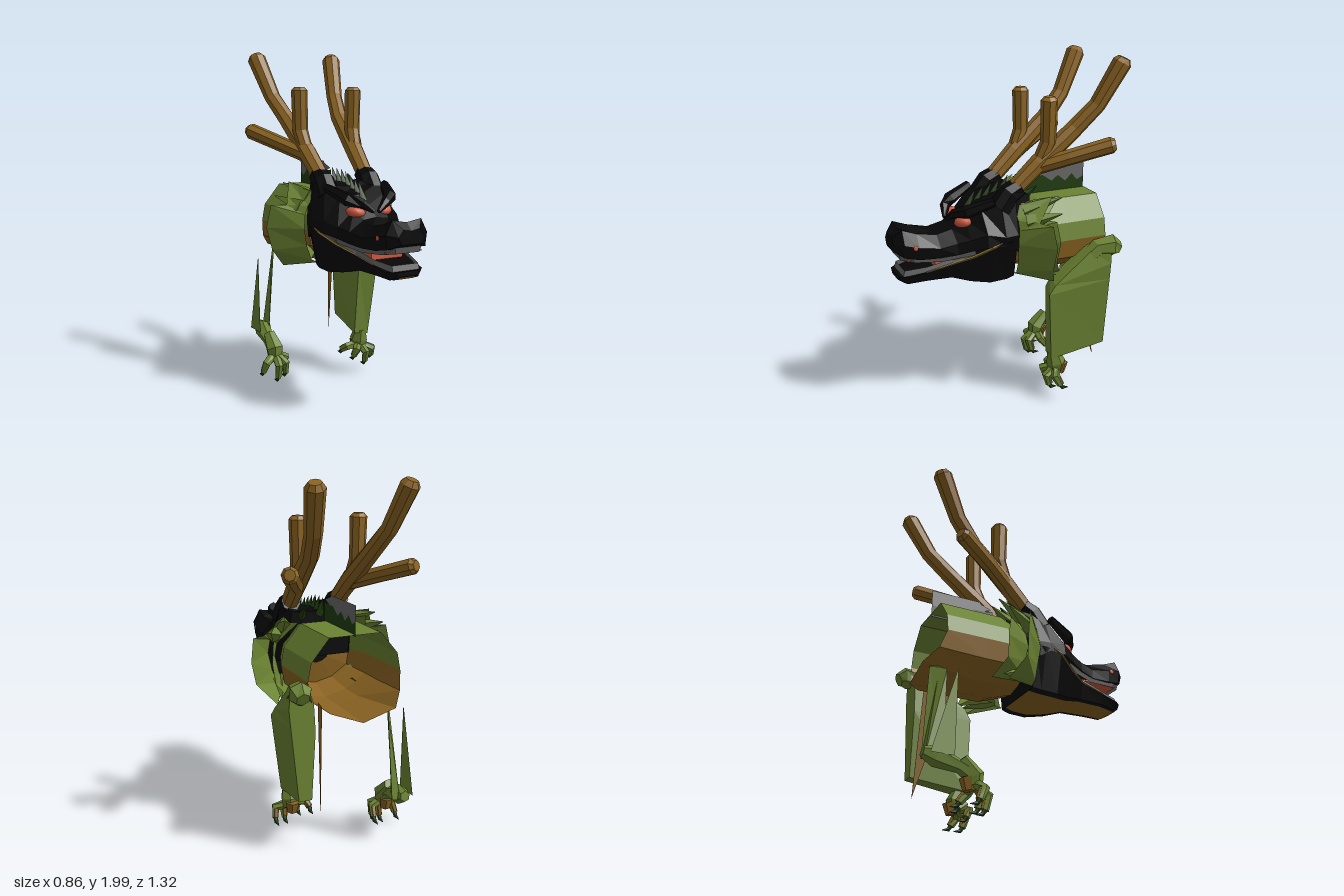
import * as THREE from 'three';

const mat = (name, color) => {
  const m = new THREE.MeshStandardMaterial({ color, side: THREE.DoubleSide });
  m.name = name;
  return m;
};
const V = (a) => new THREE.Vector3(...a);

// Faceted skin through rings (start to end, counter-clockwise seen from the start)
function loft(rings, closed = true) {
  const out = [];
  const tri = (a, b, c) => out.push(...a, ...b, ...c);
  const n = rings[0].length;
  for (let i = 0; i < rings.length - 1; i++) {
    for (let k = 0; k < (closed ? n : n - 1); k++) {
      const j = (k + 1) % n, a = rings[i][k], b = rings[i][j], c = rings[i + 1][k], d = rings[i + 1][j];
      tri(a, c, b);
      tri(b, c, d);
    }
  }
  if (closed) {
    for (const [ring, flip] of [[rings[0], false], [rings[rings.length - 1], true]]) {
      const mid = [0, 1, 2].map((q) => ring.reduce((s, p) => s + p[q], 0) / n);
      ring.forEach((p, k) => {
        const q = ring[(k + 1) % n];
        flip ? tri(mid, q, p) : tri(mid, p, q);
      });
    }
  }
  const g = new THREE.BufferGeometry();
  g.setAttribute('position', new THREE.Float32BufferAttribute(out, 3));
  g.computeVertexNormals();
  return g;
}

// Tapered faceted limb along a path
function sweep(points, radii, sides = 6) {
  const p = points.map(V);
  return loft(p.map((c, i) => {
    const t = p[Math.min(i + 1, p.length - 1)].clone().sub(p[Math.max(i - 1, 0)]).normalize();
    const u = new THREE.Vector3().crossVectors(t, V([0.93, 0.1, 0.35])).normalize();
    const v = new THREE.Vector3().crossVectors(u, t);
    return Array.from({ length: sides }, (_, k) => {
      const a = (k / sides) * Math.PI * 2;
      return c.clone().addScaledVector(u, Math.cos(a) * radii[i]).addScaledVector(v, Math.sin(a) * radii[i]).toArray();
    });
  }));
}

// Flat plate standing on the centre line, outline given as [z, y]
function plate(outline) {
  const g = new THREE.ShapeGeometry(new THREE.Shape(outline.map((p) => new THREE.Vector2(...p))));
  return g.rotateY(-Math.PI / 2);
}

export function createModel() {
  const root = new THREE.Group();
  root.name = 'hornedBeast';
  const green = mat('scaleGreen', 0x6c8433), brown = mat('hornBrown', 0x8b6422), black = mat('headBlack', 0x070707);
  const darkGreen = mat('crestGreen', 0x213c10), grey = mat('toothGrey', 0x686868), red = mat('eyeRed', 0xcf5a40);
  const gold = mat('lipGold', 0x8f7436);
  const add = (name, geometry, material, parent = root) => {
    const m = new THREE.Mesh(geometry, material);
    m.name = name;
    parent.add(m);
    return m;
  };

  // Skull and snout: z, centre top, crown x/y, cheek x/y, lip x/y
  const skull = [
    [0.665, 1.06, 0.05, 1.07, 0.08, 1.03, 0.06, 0.99], [0.62, 1.1, 0.09, 1.115, 0.13, 1.04, 0.12, 0.965],
    [0.54, 1.06, 0.09, 1.085, 0.145, 1.02, 0.14, 0.95], [0.42, 1.05, 0.08, 1.06, 0.15, 1.0, 0.15, 0.945],
    [0.33, 1.09, 0.08, 1.08, 0.17, 1.02, 0.18, 0.96], [0.26, 1.15, 0.095, 1.13, 0.2, 1.04, 0.21, 0.98],
    [0.18, 1.2, 0.14, 1.19, 0.24, 1.07, 0.25, 1.0], [0.08, 1.23, 0.18, 1.25, 0.262, 1.05, 0.26, 1.0],
    [0, 1.25, 0.19, 1.29, 0.25, 1.05, 0.24, 0.95], [-0.1, 1.24, 0.17, 1.25, 0.19, 1.1, 0.18, 0.98],
  ];
  add('skull', loft(skull.map(([z, t, ax, ay, bx, by, cx, cy]) => [
    [cx, cy, z], [bx, by, z], [ax, ay, z], [0, t, z], [-ax, ay, z], [-bx, by, z], [-cx, cy, z], [0, cy, z],
  ])), black);

  // Lower jaw: z, lip x/y, chin x/y
  const jaw = [
    [0.64, 0.08, 0.845, 0.06, 0.82], [0.6, 0.115, 0.845, 0.09, 0.8], [0.5, 0.13, 0.865, 0.11, 0.81], [0.35, 0.15, 0.9, 0.12, 0.81],
    [0.25, 0.2, 0.94, 0.16, 0.785], [0.15, 0.255, 1.0, 0.2, 0.775], [0.05, 0.262, 1.02, 0.2, 0.78], [0, 0.24, 1.02, 0.19, 0.79],
  ];
  add('lowerJaw', loft(jaw.map(([z, a, b, c, d]) => [[c, d, z], [a, b, z], [-a, b, z], [-c, d, z]])), black);
  add('chinStrip', loft(jaw.map(([z, , , c, d]) => [[-c * 0.75, d - 0.003, z], [c * 0.75, d - 0.003, z]]), false), brown);

  // Teeth follow the lips; red mouth lining between them
  const teeth = (half, h) => {
    const line = [...half.map(([x, y, z]) => [-x, y, z]), ...half.slice().reverse()];
    return loft([line, line.map(([x, y, z]) => [x * 0.96, y + h, z - 0.01])], false);
  };
  add('upperTeeth', teeth([[0.2, 0.985, 0.24], [0.148, 0.955, 0.42], [0.125, 0.965, 0.57], [0.08, 0.975, 0.64]], -0.035), grey);
  add('lowerTeeth', teeth([[0.19, 0.935, 0.25], [0.145, 0.895, 0.36], [0.122, 0.86, 0.5], [0.085, 0.843, 0.62]], 0.034), grey);
  add('tongue', new THREE.BoxGeometry(0.2, 0.05, 0.22), red).position.set(0, 0.895, 0.33);
  add('palate', new THREE.BoxGeometry(0.22, 0.008, 0.36), red).position.set(0, 0.942, 0.42);
  add('throat', new THREE.BoxGeometry(0.28, 0.1, 0.008), red).position.set(0, 0.93, 0.24);

  // Back crest and head crest
  add('backCrestTop', plate([[-0.17, 1.32], [-0.24, 1.345], [-0.24, 1.356], [-0.54, 1.356], [-0.54, 1.27], [-0.5, 1.25], [-0.46, 1.29],
    [-0.42, 1.25], [-0.37, 1.29], [-0.33, 1.26], [-0.27, 1.3], [-0.22, 1.3]]), grey);
  add('backCrest', plate([[-0.16, 1.19], [-0.16, 1.31], [-0.22, 1.3], [-0.27, 1.3], [-0.33, 1.26], [-0.37, 1.29],
    [-0.42, 1.25], [-0.46, 1.29], [-0.5, 1.25], [-0.54, 1.27], [-0.54, 1.19]]), darkGreen);
  for (let i = 0; i < 7; i++) {
    const spike = add('crestSpike', new THREE.ConeGeometry(0.028, 0.12, 4), darkGreen);
    spike.position.set(0, 1.215 + Math.min(i, 4) * 0.015, 0.18 - i * 0.05);
    spike.rotation.x = -0.45;
  }

  // Open trunk with green back and brown belly, drawn in at the neck
  const trunk = [[-0.06, 0.25], [-0.04, 0.8], [-0.18, 1], [-0.32, 1], [-0.545, 1]];
  const ring = (pts) => trunk.map(([z, s]) => pts.map(([x, y]) => [x * s, 0.99 + (y - 0.99) * s, z]));
  const belly = ring([[-0.27, 0.98], [-0.25, 0.87], [-0.13, 0.79], [0, 0.76], [0.14, 0.79], [0.25, 0.87], [0.27, 0.98]]);
  belly[4][1] = [-0.25, 0.88, -0.58];
  belly[4][2] = [-0.19, 0.81, -0.645];
  belly[4][3] = [0, 0.755, -0.645];
  add('back', loft(ring([[0.27, 0.98], [0.25, 1.08], [0.15, 1.2], [-0.15, 1.2], [-0.25, 1.08], [-0.27, 0.98]]), false), green);
  add('belly', loft(belly, false), brown);
  add('bellyShard', loft([[[0.13, 0.8, -0.36], [0.17, 0.82, -0.5]], [[0.19, 0.19, -0.53], [0.192, 0.19, -0.53]]], false), brown);

  for (const s of [1, -1]) {
    const side = new THREE.Group();
    side.name = s > 0 ? 'leftHeadParts' : 'rightHeadParts';
    root.add(side);
    const m = (pts) => pts.map(([x, y, z]) => [x * s, y, z]);

    // Antler with two tines
    add('hornSocket', sweep(m([[0.15, 1.18, 0.07], [0.15, 1.265, 0.01], [0.15, 1.295, -0.045]]), [0.07, 0.066, 0.056], 8), black, side);
    add('antler', sweep(m([[0.145, 1.26, 0.01], [0.16, 1.42, -0.16], [0.18, 1.6, -0.37], [0.215, 1.73, -0.49], [0.26, 1.96, -0.61], [0.265, 1.985, -0.62]]),
      [0.048, 0.055, 0.05, 0.048, 0.055, 0.035], 8), brown, side);
    add('upperTine', sweep(m([[0.16, 1.4, -0.15], [0.175, 1.54, -0.21], [0.18, 1.77, -0.21], [0.18, 1.79, -0.21]]), [0.04, 0.045, 0.048, 0.03], 8), brown, side);
    add('outerTine', sweep(m([[0.16, 1.4, -0.15], [0.25, 1.46, -0.31], [0.35, 1.53, -0.51], [0.36, 1.535, -0.53]]), [0.045, 0.045, 0.047, 0.03], 8), brown, side);

    // Eye, brow, nostril and lip line
    const eye = add('eye', new THREE.SphereGeometry(1, 10, 6), red, side);
    eye.scale.set(0.055, 0.034, 0.042);
    eye.position.set(s * 0.092, 1.115, 0.268);
    eye.rotation.set(0, s * 0.6, s * 0.15);
    add('brow', sweep(m([[0.015, 1.12, 0.335], [0.075, 1.165, 0.312], [0.135, 1.185, 0.262], [0.19, 1.24, 0.12]]), [0.012, 0.028, 0.038, 0.025]), black, side);
    const nostril = add('nostril', new THREE.SphereGeometry(0.014, 8, 6), red, side);
    nostril.position.set(s * 0.141, 1.02, 0.56);
    nostril.scale.x = 0.3;
    add('lipLine', sweep(m([[0.258, 1.02, 0.1], [0.254, 1.0, 0.15], [0.2, 0.943, 0.25], [0.15, 0.903, 0.35], [0.13, 0.868, 0.5]]), [0.003, 0.008, 0.008, 0.006, 0.004], 4), gold, side);

    // Neck ruff: two rows of flared leaves, open behind
    const root1 = [[0.15, 1.2, 0], [0.19, 1.2, 0], [0.24, 1.13, 0], [0.26, 1.08, 0], [0.27, 1, 0.01], [0.25, 0.9, 0], [0.22, 0.82, 0], [0.18, 0.8, 0]];
    const rim1 = [[0.18, 1.22, -0.12], [0.26, 1.25, -0.2], [0.33, 1.13, -0.09], [0.41, 1.13, -0.13], [0.43, 1, -0.15], [0.4, 0.87, -0.14], [0.3, 0.76, -0.2], [0.23, 0.83, -0.1]];
    add('ruffFront', loft([m(root1), m(rim1)], false), green, side);
    const shrink = (pts, k, dz) => m(pts.map(([x, y, z]) => [x * k, 1 + (y - 1) * 0.92, z + dz]));
    add('ruffRear', loft([shrink(root1, 0.95, -0.07), shrink(rim1, 0.78, -0.07)], false), green, side);
    for (const [x, y, z] of [[0.27, 1.24, -0.25], [0.34, 1.17, -0.22], [0.28, 0.79, -0.22]]) {
      add('ruffSpike', sweep(m([[x * 0.75, 1 + (y - 1) * 0.7, -0.05], [x, y, z]]), [0.05, 0.003], 4), green, side);
    }
    add('napeSpike', sweep(m([[0.1, 1.18, -0.04], [0.12, 1.28, -0.17]]), [0.045, 0.003], 4), darkGreen, side);
  }

  // Left foreleg: wedge that is broad in front and thinner behind, hung from a folded shoulder
  add('leftForeleg', loft([
    [[0.25, 0.93, -0.42], [0.33, 0.92, -0.42], [0.36, 0.96, -0.53], [0.27, 0.97, -0.53]],
    [[0.22, 0.76, -0.22], [0.32, 0.74, -0.2], [0.37, 0.84, -0.53], [0.23, 0.86, -0.53]],
    [[0.215, 0.7, -0.19], [0.325, 0.69, -0.16], [0.36, 0.74, -0.53], [0.22, 0.7, -0.53]],
    [[0.195, 0.27, -0.21], [0.285, 0.26, -0.2], [0.315, 0.32, -0.53], [0.24, 0.32, -0.53]],
  ].map((r) => r.reverse())), green);
  add('leftShoulder', sweep([[0.29, 0.82, -0.36], [0.3, 0.92, -0.48], [0.32, 0.93, -0.56], [0.32, 0.91, -0.6]], [0.04, 0.055, 0.065, 0.04]), green);

  // Right foreleg: forearm with two tall shards
  add('rightForearm', sweep([[-0.26, 0.295, -0.65], [-0.26, 0.28, -0.58], [-0.28, 0.24, -0.46], [-0.28, 0.2, -0.38]], [0.03, 0.055, 0.035, 0.045]), green);
  add('innerShard', loft([[[-0.17, 0.8, -0.6], [-0.19, 0.8, -0.55], [-0.22, 0.78, -0.52]],
    [[-0.19, 0.28, -0.63], [-0.24, 0.27, -0.63], [-0.24, 0.27, -0.53]]]), green);
  add('outerShard', loft([[[-0.322, 0.75, -0.5], [-0.325, 0.75, -0.5]], [[-0.315, 0.28, -0.5], [-0.32, 0.28, -0.63]]], false), green);

  // Clawed hands: wrist point, palm point, finger tips
  const hand = (name, wrist, palm, tips) => {
    const g = new THREE.Group();
    g.name = name;
    root.add(g);
    add('palm', sweep([wrist, [palm[0], palm[1] + 0.03, palm[2]], [palm[0], palm[1] - 0.02, palm[2]]], [0.036, 0.056, 0.045]), green, g);
    add('palmPad', sweep([[palm[0], palm[1] + 0.02, palm[2] - 0.035], [palm[0], palm[1] - 0.045, palm[2] - 0.025]], [0.042, 0.03]), brown, g);
    for (const [x, y, z] of tips) {
      const knuckle = [palm[0] + (x - palm[0]) * 0.9, (palm[1] + y) / 2 + 0.02, palm[2] + (z - palm[2]) * 0.8 + 0.03];
      add('finger', sweep([palm, knuckle, [x, y + 0.025, z]], [0.027, 0.026, 0.019]), green, g);
      add('fingerPad', sweep([[knuckle[0], knuckle[1], knuckle[2] - 0.017], [x, y + 0.03, z - 0.012]], [0.016, 0.013], 5), brown, g);
      add('claw', sweep([[x, y + 0.03, z], [x, y + 0.005, z - 0.015], [x, y, z - 0.05]], [0.014, 0.012, 0.002], 5), darkGreen, g);
    }
  };
  hand('leftHand', [0.25, 0.29, -0.23], [0.25, 0.19, -0.25],
    [[0.145, 0.13, -0.28], [0.19, 0.1, -0.21], [0.265, 0.06, -0.2], [0.335, 0.08, -0.24]]);
  hand('rightHand', [-0.28, 0.28, -0.45], [-0.275, 0.17, -0.38],
    [[-0.355, 0.04, -0.38], [-0.285, 0.01, -0.32], [-0.23, 0.03, -0.33], [-0.195, 0.06, -0.42]]);
  return root;
}
